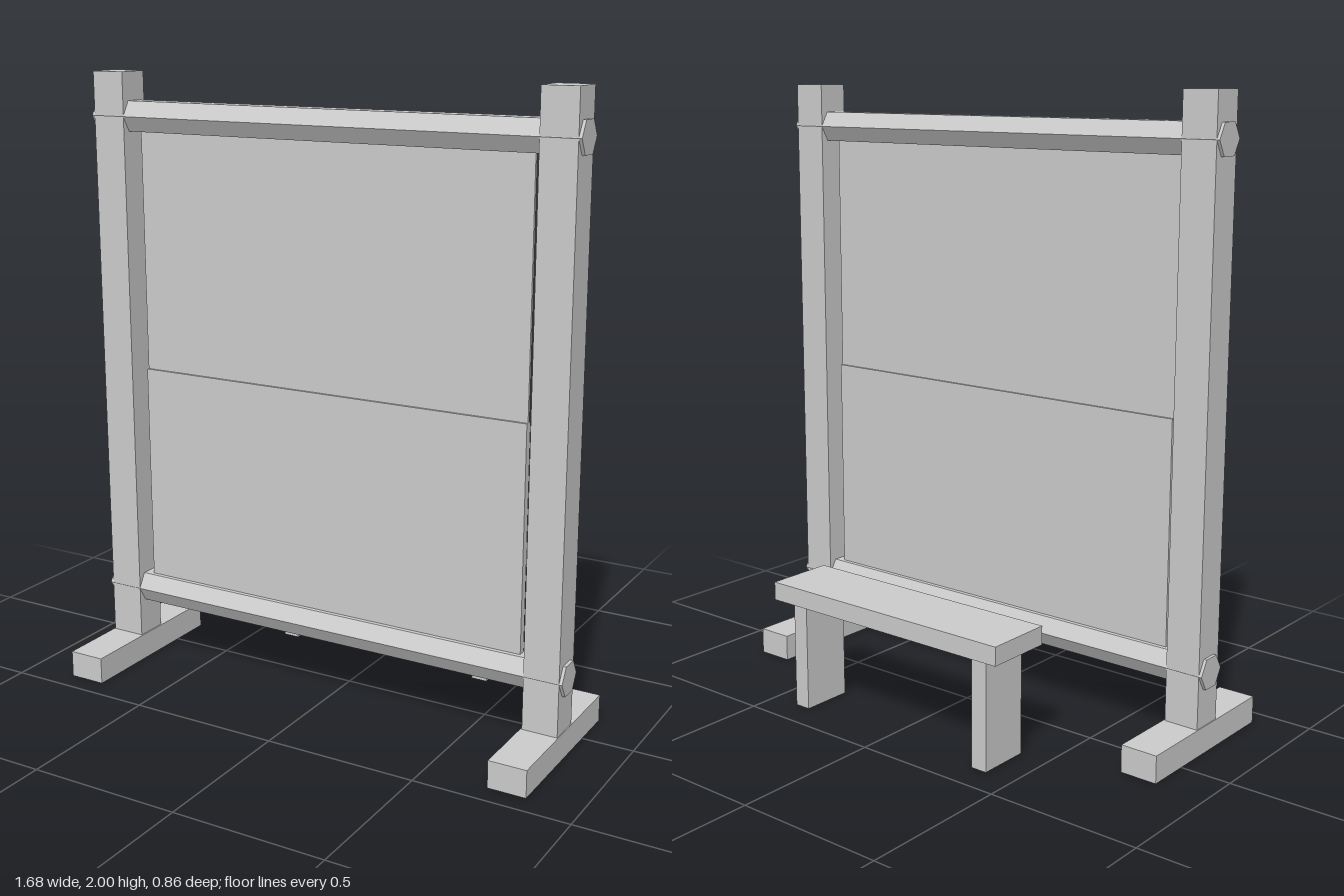
import * as THREE from 'three';

export function createModel() {
  const group = new THREE.Group();
  const grey = new THREE.MeshStandardMaterial({ color: 0xcccccc, flatShading: true });
  grey.name = 'plain grey';

  const add = (name, geometry, x, y, z) => {
    const mesh = new THREE.Mesh(geometry, grey);
    mesh.name = name;
    mesh.position.set(x, y, z);
    group.add(mesh);
    return mesh;
  };
  // Box given by its limits on each axis
  const box = (name, [x0, x1], [y0, y1], [z0, z1]) =>
    add(name, new THREE.BoxGeometry(x1 - x0, y1 - y0, z1 - z0),
      (x0 + x1) / 2, (y0 + y1) / 2, (z0 + z1) / 2);

  const frameZ = 0.145;

  for (const [side, s] of [['left', 1], ['right', -1]]) {
    const span = (a, b) => (s > 0 ? [a, b] : [-b, -a]);
    // Upright posts on long feet
    box(side + 'Post', span(0.715, 0.83), [0.088, 2], [0.09, 0.2]);
    box(side + 'Foot', span(0.71, 0.833), [0, 0.088], [-0.142, 0.43]);
    // Bench legs
    box(side + 'BenchLeg', span(0.345, 0.4), [0, 0.36], [-0.4, -0.228]);
  }

  // Hexagonal rollers running through the posts
  for (const [name, y] of [['topRoller', 1.86], ['bottomRoller', 0.26]]) {
    const roller = new THREE.CylinderGeometry(0.056, 0.056, 1.68, 6);
    roller.rotateZ(Math.PI / 2);
    add(name, roller, 0, y, frameZ);
  }

  // Thin upper panel above a slightly thicker lower one
  box('upperPanel', [-0.685, 0.685], [1.03, 1.86], [frameZ - 0.005, frameZ + 0.005]);
  box('lowerPanel', [-0.685, 0.685], [0.26, 1.03], [frameZ - 0.013, frameZ + 0.013]);

  // Bench seat
  box('benchSeat', [-0.458, 0.458], [0.36, 0.42], [-0.43, -0.203]);

  return group;
}
